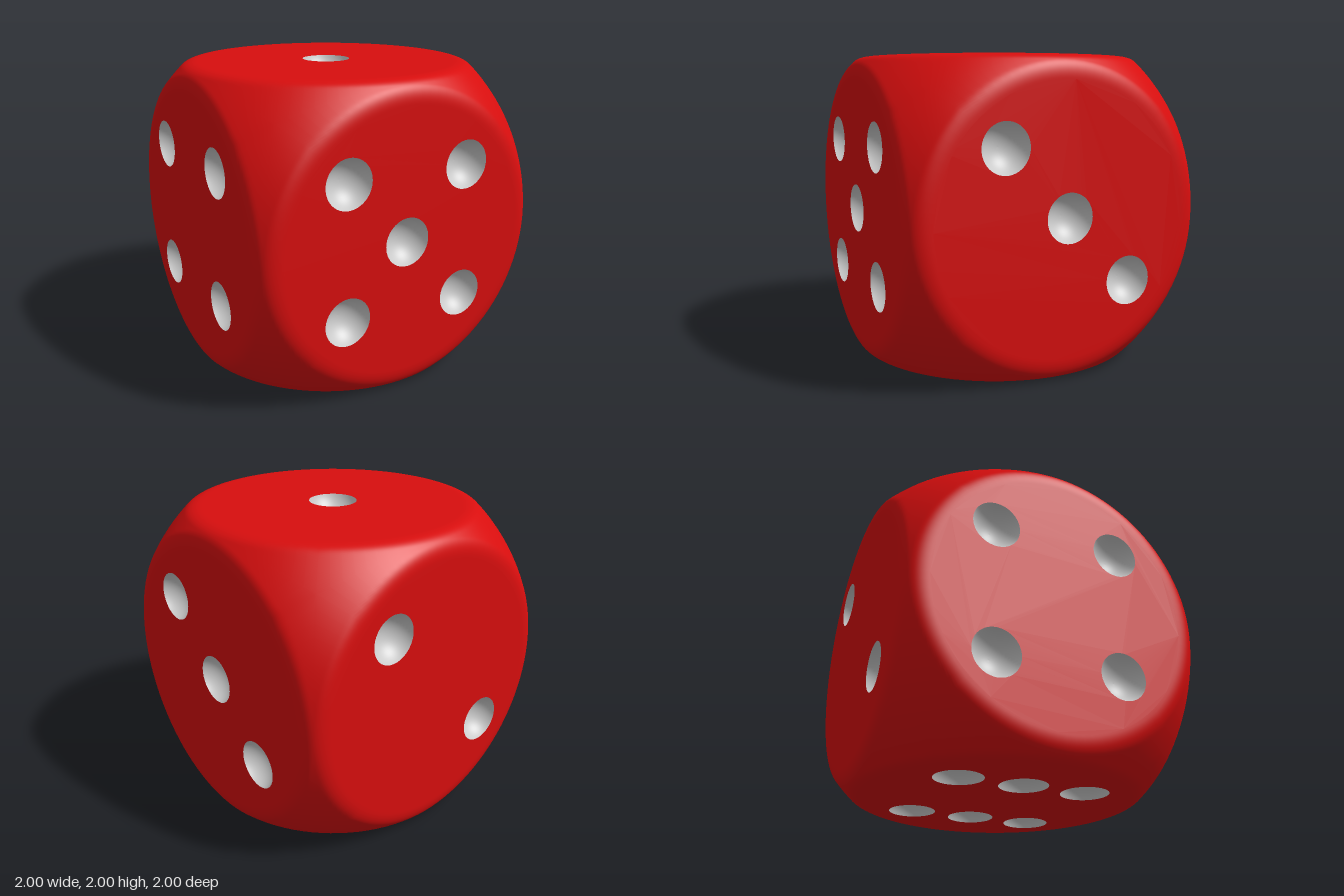
import * as THREE from 'three';
import { mergeVertices } from 'three/addons/utils/BufferGeometryUtils.js';

const SPHERE = 1.365;   // ball that rounds off the cube's corners
const BLEND = 0.05;     // softness of the line where ball and cube meet
const FLAT = 0.85;      // radius of the flat disc on each face
const SEGMENTS = 96, RINGS = 22;
const PIP_RADIUS = 0.157, PIP_DEPTH = 0.12;

const red = new THREE.MeshStandardMaterial({ color: 0xd80e0e });
const grey = new THREE.MeshStandardMaterial({ color: 0xcccccc, side: THREE.DoubleSide });

// Each face: turn from the front, and pip centres as seen from outside
const H = Math.PI / 2;
const faces = [
  { name: 'front', turn: [0, 0], pips: [[-0.43, 0.44], [0.42, 0.44], [-0.01, 0.01], [-0.43, -0.425], [0.42, -0.425]] },
  { name: 'right', turn: [0, H], pips: [[-0.4, 0.455], [0.03, 0.02], [0.455, -0.405]] },
  { name: 'back', turn: [0, 2 * H], pips: [[-0.39, 0.465], [0.46, -0.395]] },
  { name: 'left', turn: [0, -H], pips: [[-0.435, 0.44], [0.405, 0.44], [-0.435, -0.425], [0.405, -0.425]] },
  { name: 'top', turn: [-H, 0], pips: [[0, 0]] },
  { name: 'bottom', turn: [H, 0], pips: [-0.43, 0, 0.43].flatMap(z => [[-0.43, z], [0.43, z]]) },
];

// Smooth minimum of the cube and ball distances along a direction
function softMin(a, b) {
  const h = Math.max(BLEND - Math.abs(a - b), 0) / BLEND;
  return Math.min(a, b) - h * h * BLEND / 4;
}

// Rounded surface around the six flat discs, welded for smooth normals
function roundedShell() {
  const positions = [], index = [];
  for (const { turn } of faces) {
    const euler = new THREE.Euler(turn[0], turn[1], 0);
    const base = positions.length / 3;
    for (let j = 0; j <= RINGS; j++) {
      for (let i = 0; i <= SEGMENTS; i++) {
        const a = (i % SEGMENTS) / SEGMENTS * Math.PI * 2;
        const c = Math.cos(a), s = Math.sin(a);
        const square = 1 / Math.max(Math.abs(c), Math.abs(s));
        const rho = THREE.MathUtils.lerp(FLAT, square, j / RINGS);
        const p = new THREE.Vector3(c * rho, s * rho, 1);
        p.setLength(softMin(p.length(), SPHERE)).applyEuler(euler);
        positions.push(p.x, p.y, p.z);
        if (j < RINGS && i < SEGMENTS) {
          const q = base + j * (SEGMENTS + 1) + i, r = q + SEGMENTS + 1;
          index.push(q, r, r + 1, q, r + 1, q + 1);
        }
      }
    }
  }
  let geometry = new THREE.BufferGeometry();
  geometry.setAttribute('position', new THREE.Float32BufferAttribute(positions, 3));
  geometry.setIndex(index);
  geometry = mergeVertices(geometry, 1e-4);
  geometry.computeVertexNormals();
  return geometry;
}

// Flat disc with a round hole for every pip
function faceDisc(pips) {
  const rim = [];
  for (let i = 0; i < SEGMENTS; i++) {
    const a = i / SEGMENTS * Math.PI * 2;
    rim.push(new THREE.Vector2(Math.cos(a) * FLAT, Math.sin(a) * FLAT));
  }
  const shape = new THREE.Shape(rim);
  for (const [x, y] of pips) {
    shape.holes.push(new THREE.Path().absarc(x, y, PIP_RADIUS, 0, Math.PI * 2, true));
  }
  return new THREE.ShapeGeometry(shape, 24);
}

// Hollow spherical bowl opening towards +z
function pipBowl() {
  const radius = (PIP_RADIUS ** 2 + PIP_DEPTH ** 2) / (2 * PIP_DEPTH);
  const spread = Math.acos((radius - PIP_DEPTH) / radius);
  const profile = [];
  for (let i = 0; i <= 14; i++) {
    const a = spread * (1 - i / 14);
    profile.push(new THREE.Vector2(radius * Math.sin(a), radius - PIP_DEPTH - radius * Math.cos(a)));
  }
  return new THREE.LatheGeometry(profile, 48).rotateX(H);
}

export function createModel() {
  const die = new THREE.Group();
  die.name = 'die';

  const shell = new THREE.Mesh(roundedShell(), red);
  shell.name = 'roundedBody';
  die.add(shell);

  const bowl = pipBowl();
  for (const { name, turn, pips } of faces) {
    const face = new THREE.Group();
    face.name = name + 'Face';
    face.rotation.set(turn[0], turn[1], 0);
    const disc = new THREE.Mesh(faceDisc(pips), red);
    disc.name = name + 'Disc';
    disc.position.z = 1;
    face.add(disc);
    for (const [x, y] of pips) {
      const pip = new THREE.Mesh(bowl, grey);
      pip.name = 'pip';
      pip.position.set(x, y, 1);
      face.add(pip);
    }
    die.add(face);
  }

  // Rest the die on the ground
  die.position.y = 1;
  const model = new THREE.Group();
  model.name = 'model';
  model.add(die);
  return model;
}
